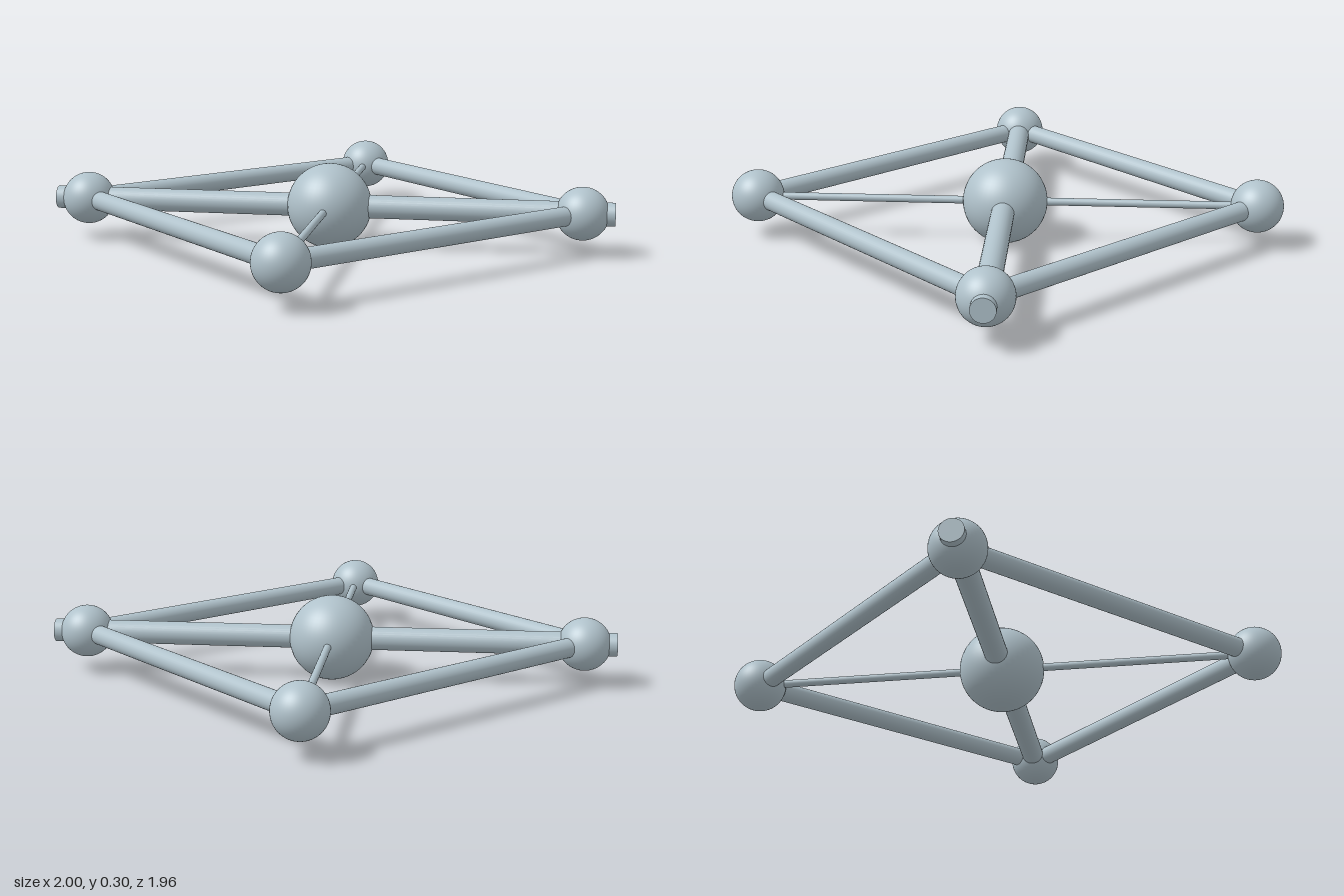
import * as THREE from 'three';

const Y = 0.15; // height of the frame plane
const REACH = 0.887; // centre to corner joints

export function createModel() {
  const model = new THREE.Group();
  const steel = new THREE.MeshStandardMaterial({ color: 0xb0c2cb });
  steel.name = 'pale steel';

  function ball(name, x, z, radius) {
    const mesh = new THREE.Mesh(new THREE.SphereGeometry(radius, 48, 32), steel);
    mesh.name = name;
    mesh.position.set(x, Y, z);
    model.add(mesh);
  }

  // Straight round bar between two points of the frame plane
  function rod(name, [x1, z1], [x2, z2], radius) {
    const a = new THREE.Vector3(x1, Y, z1);
    const b = new THREE.Vector3(x2, Y, z2);
    const mesh = new THREE.Mesh(new THREE.CylinderGeometry(radius, radius, a.distanceTo(b), 32), steel);
    mesh.name = name;
    mesh.position.copy(a).lerp(b, 0.5);
    mesh.quaternion.setFromUnitVectors(new THREE.Vector3(0, 1, 0), b.sub(a).normalize());
    model.add(mesh);
  }

  // Central ball, main axle and thin cross rod
  ball('hub', 0, 0, 0.15);
  rod('mainAxle', [-1, 0], [1, 0], 0.041);
  rod('crossRod', [0, -REACH], [0, REACH], 0.0135);

  // Corner joints linked by the outer bars
  const corners = [[REACH, 0], [0, REACH], [-REACH, 0], [0, -REACH]];
  const joints = ['leftJoint', 'frontJoint', 'rightJoint', 'backJoint'];
  const bars = ['frontLeftBar', 'frontRightBar', 'backRightBar', 'backLeftBar'];
  corners.forEach((corner, i) => {
    ball(joints[i], corner[0], corner[1], 0.093);
    rod(bars[i], corner, corners[(i + 1) % 4], 0.034);
  });

  return model;
}
